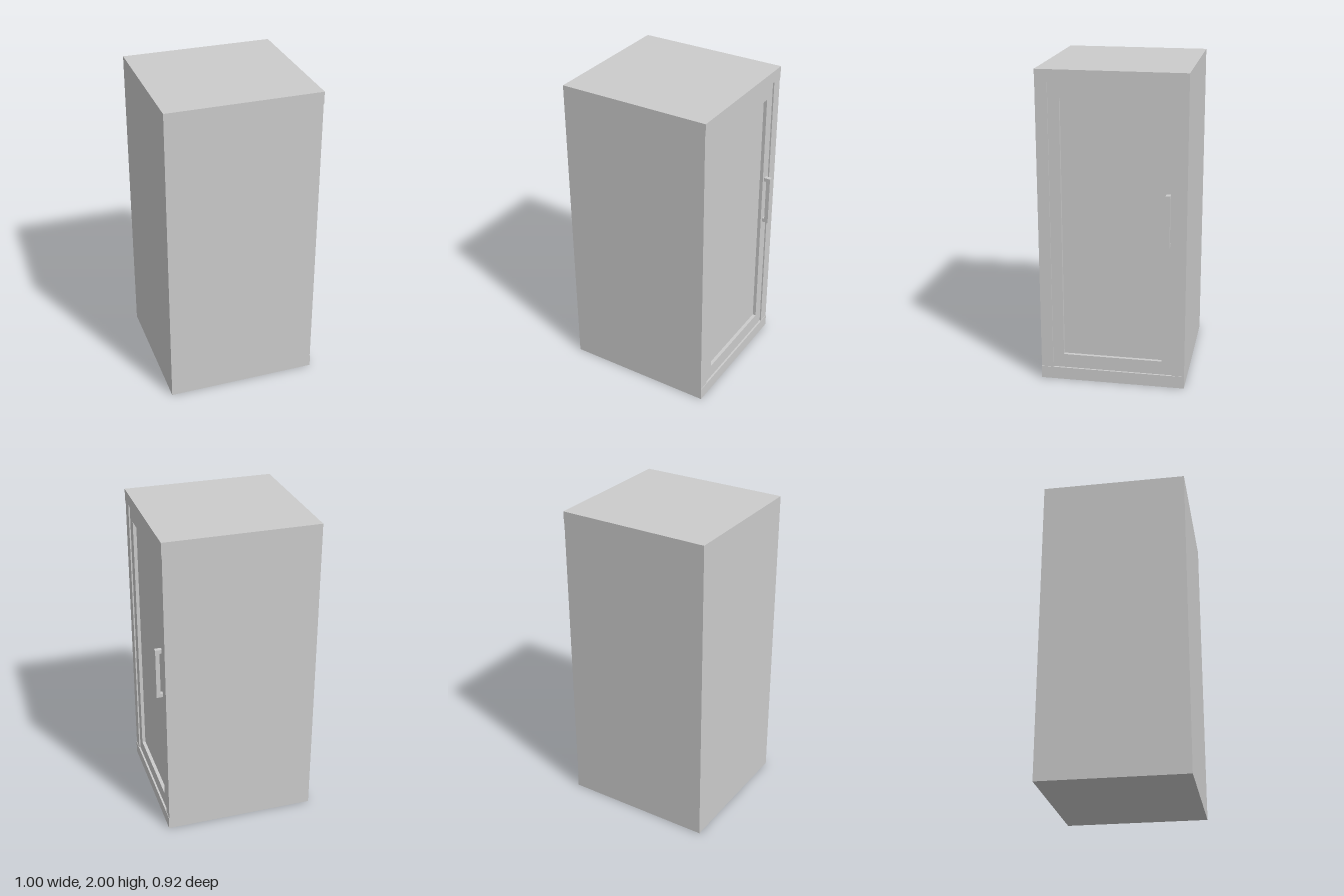
import * as THREE from 'three';

const material = new THREE.MeshStandardMaterial({ color: 0xcccccc });

// Box given by its lower and upper limits on each axis
function box(name, [x0, x1], [y0, y1], [z0, z1]) {
  const mesh = new THREE.Mesh(new THREE.BoxGeometry(x1 - x0, y1 - y0, z1 - z0), material);
  mesh.name = name;
  mesh.position.set((x0 + x1) / 2, (y0 + y1) / 2, (z0 + z1) / 2);
  return mesh;
}

// Four-sided ring on the +x side, from outer to inner half width and heights
function ring(name, [x0, x1], outer, inner) {
  const corners = ([w, y0, y1]) =>
    [[-w, y0], [w, y0], [w, y1], [-w, y1]].map(([x, y]) => new THREE.Vector2(x, y));
  const shape = new THREE.Shape(corners(outer));
  shape.holes.push(new THREE.Path(corners(inner).reverse()));
  const geometry = new THREE.ExtrudeGeometry(shape, { depth: x1 - x0, bevelEnabled: false });
  geometry.rotateY(Math.PI / 2);
  const mesh = new THREE.Mesh(geometry, material);
  mesh.name = name;
  mesh.position.x = x0;
  return mesh;
}

export function createModel() {
  const cabinet = new THREE.Group();
  cabinet.name = 'cabinet';

  // Body, with its front side facing +x
  cabinet.add(box('body', [-0.5, 0.434], [0, 2], [-0.46, 0.46]));
  cabinet.add(ring('faceFrame', [0.434, 0.467], [0.46, 0, 2], [0.385, 0.08, 1.925]));

  // Rails stand slightly proud of the stiles
  cabinet.add(box('topRail', [0.467, 0.47], [1.925, 2], [-0.46, 0.46]));
  cabinet.add(box('bottomRail', [0.467, 0.47], [0, 0.08], [-0.46, 0.46]));

  // Door set into the frame, with a sunken panel
  const door = new THREE.Group();
  door.name = 'door';
  door.add(ring('doorFrame', [0.434, 0.458], [0.385, 0.08, 1.925], [0.315, 0.17, 1.83]));
  door.add(box('doorPanel', [0.43, 0.436], [0.17, 1.83], [-0.315, 0.315]));

  // Bar handle on two short posts
  const handle = new THREE.Group();
  handle.name = 'handle';
  const width = [-0.36, -0.333];
  handle.add(box('handleBar', [0.474, 0.5], [0.94, 1.27], width));
  for (const y of [0.94, 1.245]) {
    handle.add(box('handlePost', [0.456, 0.474], [y, y + 0.025], width));
  }
  door.add(handle);
  cabinet.add(door);

  return cabinet;
}
